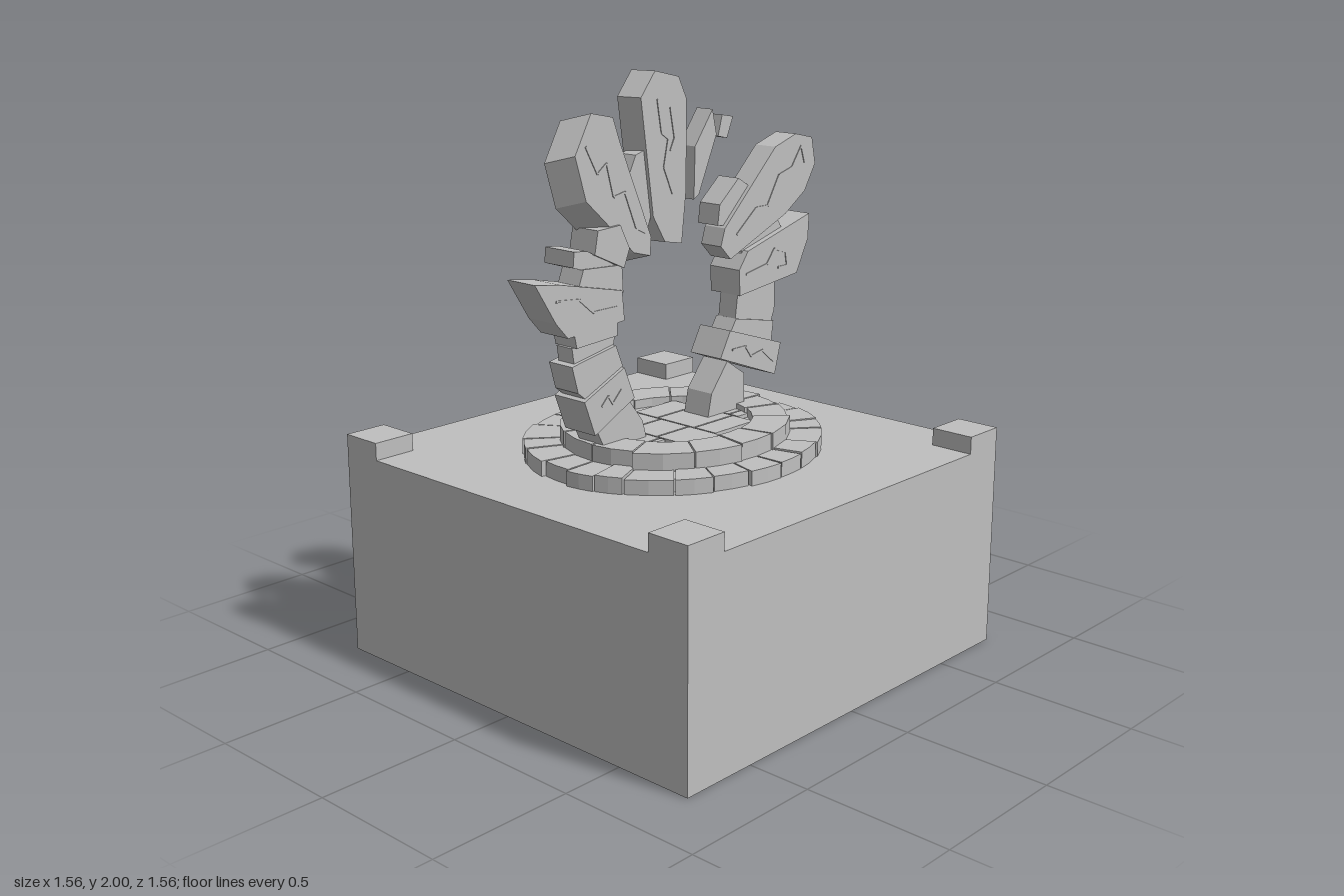
import * as THREE from 'three';

const stoneGrey = new THREE.MeshStandardMaterial({ color: 0xbfbfbf });
stoneGrey.name = 'stone grey';

function seeded(seed) {
  return () => {
    seed = (seed * 16807) % 2147483647;
    return seed / 2147483647;
  };
}

function add(parent, geometry, name) {
  const mesh = new THREE.Mesh(geometry, stoneGrey);
  mesh.name = name;
  parent.add(mesh);
  return mesh;
}

function box(parent, name, x0, x1, y0, y1, z0, z1) {
  const mesh = add(parent, new THREE.BoxGeometry(x1 - x0, y1 - y0, z1 - z0), name);
  mesh.position.set((x0 + x1) / 2, (y0 + y1) / 2, (z0 + z1) / 2);
}

// Upright slab cut from an outline; the back face can be shifted sideways
function slab(parent, name, outline, z0, z1, shift = [0, 0]) {
  const shape = new THREE.Shape(outline.map(([x, y]) => new THREE.Vector2(x, y)));
  const geometry = new THREE.ExtrudeGeometry(shape, { depth: z1 - z0, bevelEnabled: false });
  geometry.translate(0, 0, z0);
  const p = geometry.attributes.position;
  for (let i = 0; i < p.count; i++) {
    if (p.getZ(i) < (z0 + z1) / 2) p.setXY(i, p.getX(i) + shift[0], p.getY(i) + shift[1]);
  }
  geometry.computeVertexNormals();
  add(parent, geometry, name);
}

// Thin scratched line running over a front face
function scratch(parent, z, points) {
  for (let i = 1; i < points.length; i++) {
    const [ax, ay] = points[i - 1], [bx, by] = points[i];
    const mesh = add(parent, new THREE.BoxGeometry(Math.hypot(bx - ax, by - ay), 0.007, 0.004), 'scratch');
    mesh.position.set((ax + bx) / 2, (ay + by) / 2, z + 0.001);
    mesh.rotation.z = Math.atan2(by - ay, bx - ax);
  }
}

// Oval ring of uneven paving blocks
function blockRing(parent, name, count, inner, outer, y0, y1, seed) {
  const rand = seeded(seed);
  const ring = new THREE.Group();
  ring.name = name;
  const cuts = [];
  for (let i = 0; i < count; i++) cuts.push(((i + (rand() - 0.5) * 0.4) / count) * Math.PI * 2);
  cuts.push(cuts[0] + Math.PI * 2);
  for (let i = 0; i < count; i++) {
    const a = cuts[i] + 0.006, b = cuts[i + 1] - 0.006;
    const r = outer + (rand() - 0.5) * 0.024, q = inner + (rand() - 0.5) * 0.012;
    const at = (angle, radius) => new THREE.Vector2(Math.cos(angle) * radius * 1.13, Math.sin(angle) * radius);
    const mid = (a + b) / 2;
    const shape = new THREE.Shape([at(a, r), at(mid, r), at(b, r), at(b, q), at(mid, q), at(a, q)]);
    const geometry = new THREE.ExtrudeGeometry(shape, { depth: y1 - y0 - rand() * 0.006, bevelEnabled: false });
    geometry.rotateX(-Math.PI / 2).translate(0, y0, 0);
    add(ring, geometry, 'ringBlock');
  }
  parent.add(ring);
}

export function createModel() {
  const model = new THREE.Group();
  model.name = 'ruinedStoneGate';

  // Square plinth with a raised block on each corner
  const plinth = new THREE.Group();
  plinth.name = 'plinth';
  model.add(plinth);
  box(plinth, 'plinthBody', -0.78, 0.78, 0, 0.72, -0.78, 0.78);
  for (const x of [-0.7025, 0.7025]) {
    for (const z of [-0.7025, 0.7025]) {
      box(plinth, 'cornerBlock', x - 0.0775, x + 0.0775, 0.72, 0.78, z - 0.0775, z + 0.0775);
    }
  }

  // Stepped round platform
  const platform = new THREE.Group();
  platform.name = 'platform';
  model.add(platform);
  const core = (name, radius, y0, y1) => {
    const geometry = new THREE.CylinderGeometry(radius, radius, y1 - y0, 32);
    geometry.scale(1.13, 1, 1).translate(0, (y0 + y1) / 2, 0);
    add(platform, geometry.toNonIndexed(), name);
  };
  core('lowerCore', 0.44, 0.72, 0.764);
  core('floor', 0.27, 0.764, 0.796);
  blockRing(platform, 'lowerRing', 24, 0.34, 0.467, 0.72, 0.775, 77);
  blockRing(platform, 'upperRing', 14, 0.25, 0.362, 0.76, 0.83, 4242);

  // Floor slabs with narrow seams, trimmed to the oval
  const columns = [-0.27, -0.16, 0, 0.2, 0.27];
  for (let i = 0; i < columns.length - 1; i++) {
    const x0 = columns[i] + 0.003, x1 = columns[i + 1] - 0.003;
    const reach = 0.25 * Math.sqrt(1 - (Math.max(Math.abs(x0), Math.abs(x1)) / 0.3) ** 2);
    const rows = [-reach, -0.08 + (i % 2) * 0.02, 0.09 - (i % 2) * 0.02, reach];
    for (let j = 0; j < 3; j++) {
      box(platform, 'floorSlab', x0, x1, 0.79, 0.81, rows[j] + 0.003, rows[j + 1] - 0.003);
    }
  }

  const gate = new THREE.Group();
  gate.name = 'brokenArch';
  model.add(gate);

  // Arch pillar on the -x side, from foot to crown
  slab(gate, 'rightFoot', [[-0.37, 0.8], [-0.41, 0.88], [-0.27, 0.96], [-0.2, 0.87], [-0.18, 0.8]], -0.065, 0.045);
  slab(gate, 'rightStone', [[-0.43, 0.87], [-0.475, 0.99], [-0.295, 1.07], [-0.25, 0.96]], -0.08, 0.058);
  slab(gate, 'rightStone', [[-0.49, 1.02], [-0.515, 1.11], [-0.32, 1.145], [-0.285, 1.06], [-0.3, 1.03], [-0.44, 0.98]], -0.06, 0.045);
  slab(gate, 'rightStone', [[-0.49, 1.1], [-0.5, 1.165], [-0.31, 1.175], [-0.32, 1.13]], -0.04, 0.03);
  slab(gate, 'rightStone', [[-0.49, 1.165], [-0.5, 1.21], [-0.31, 1.22], [-0.31, 1.175]], -0.055, 0.042);
  slab(gate, 'rightWing', [[-0.665, 1.395], [-0.56, 1.38], [-0.29, 1.32], [-0.28, 1.22], [-0.53, 1.205], [-0.58, 1.26]], -0.08, 0.045);
  slab(gate, 'rightStone', [[-0.47, 1.36], [-0.45, 1.41], [-0.28, 1.4], [-0.275, 1.31]], -0.06, 0.035);
  slab(gate, 'rightStone', [[-0.49, 1.42], [-0.485, 1.47], [-0.43, 1.465], [-0.28, 1.39], [-0.3, 1.36]], -0.1, 0.03);
  slab(gate, 'rightStone', [[-0.405, 1.45], [-0.39, 1.525], [-0.29, 1.53], [-0.25, 1.45], [-0.275, 1.39]], -0.075, 0.04);
  slab(gate, 'rightCrown', [[-0.475, 1.765], [-0.405, 1.89], [-0.31, 1.87], [-0.28, 1.79], [-0.14, 1.47],
    [-0.145, 1.41], [-0.22, 1.43], [-0.43, 1.62]], -0.055, 0.03, [-0.05, -0.025]);
  slab(gate, 'rightWedge', [[-0.24, 1.66], [-0.2, 1.74], [-0.15, 1.755], [-0.13, 1.54], [-0.16, 1.46]], -0.045, 0.02);

  // Keystone and the loose shards beside it
  slab(gate, 'keystone', [[-0.075, 1.445], [-0.13, 1.535], [-0.185, 1.92], [-0.12, 2], [-0.01, 1.975],
    [0.028, 1.9], [0.025, 1.6], [0.005, 1.43]], -0.055, 0.03, [-0.02, 0]);
  slab(gate, 'largeShard', [[0.075, 1.565], [0.08, 1.74], [0.165, 1.855], [0.185, 1.77], [0.1, 1.58]], -0.05, 0.02);
  slab(gate, 'smallShard', [[0.21, 1.76], [0.23, 1.83], [0.285, 1.82], [0.255, 1.75]], -0.035, 0.005);

  // Arch pillar on the +x side
  slab(gate, 'leftFoot', [[0.12, 0.8], [0.14, 0.89], [0.22, 0.99], [0.31, 0.93], [0.31, 0.8]], -0.065, 0.045);
  slab(gate, 'leftStone', [[0.17, 1.01], [0.22, 1.1], [0.49, 1.01], [0.46, 0.9]], -0.08, 0.058);
  slab(gate, 'leftStone', [[0.24, 1.085], [0.27, 1.13], [0.47, 1.09], [0.46, 1.02]], -0.05, 0.04);
  slab(gate, 'leftStone', [[0.27, 1.12], [0.285, 1.23], [0.48, 1.23], [0.48, 1.13], [0.46, 1.08]], -0.042, 0.035);
  slab(gate, 'leftWing', [[0.28, 1.21], [0.275, 1.3], [0.32, 1.36], [0.65, 1.45], [0.645, 1.36], [0.585, 1.245]], -0.085, 0.048);
  slab(gate, 'leftStone', [[0.31, 1.34], [0.32, 1.42], [0.5, 1.45], [0.54, 1.39]], -0.05, 0.025);
  slab(gate, 'leftWedge', [[0.2, 1.46], [0.21, 1.53], [0.305, 1.61], [0.38, 1.565], [0.34, 1.45]], -0.075, 0.015);
  slab(gate, 'leftCrown', [[0.2, 1.39], [0.22, 1.45], [0.48, 1.7], [0.59, 1.735], [0.68, 1.715],
    [0.7, 1.62], [0.645, 1.53], [0.54, 1.46], [0.25, 1.34]], -0.06, 0.03);

  // Weathered scratches on the front faces
  scratch(gate, 0.03, [[-0.43, 1.79], [-0.38, 1.7], [-0.34, 1.73], [-0.31, 1.62], [-0.26, 1.63], [-0.21, 1.51], [-0.17, 1.49]]);
  scratch(gate, 0.03, [[-0.11, 1.91], [-0.09, 1.8], [-0.06, 1.78], [-0.08, 1.69], [-0.04, 1.6]]);
  scratch(gate, 0.03, [[-0.05, 1.88], [-0.03, 1.78], [-0.05, 1.74]]);
  scratch(gate, 0.03, [[0.28, 1.42], [0.38, 1.5], [0.44, 1.5], [0.5, 1.6], [0.57, 1.62], [0.62, 1.69], [0.64, 1.63]]);
  scratch(gate, 0.048, [[0.31, 1.28], [0.42, 1.3], [0.46, 1.35], [0.52, 1.33], [0.53, 1.28], [0.48, 1.28]]);
  scratch(gate, 0.045, [[-0.58, 1.33], [-0.48, 1.32], [-0.42, 1.27], [-0.31, 1.27]]);
  scratch(gate, 0.058, [[0.23, 1.03], [0.3, 1.03], [0.33, 0.99], [0.39, 1], [0.45, 0.95]]);
  scratch(gate, 0.058, [[-0.4, 0.96], [-0.37, 0.99], [-0.35, 0.96], [-0.31, 1]]);

  return model;
}
